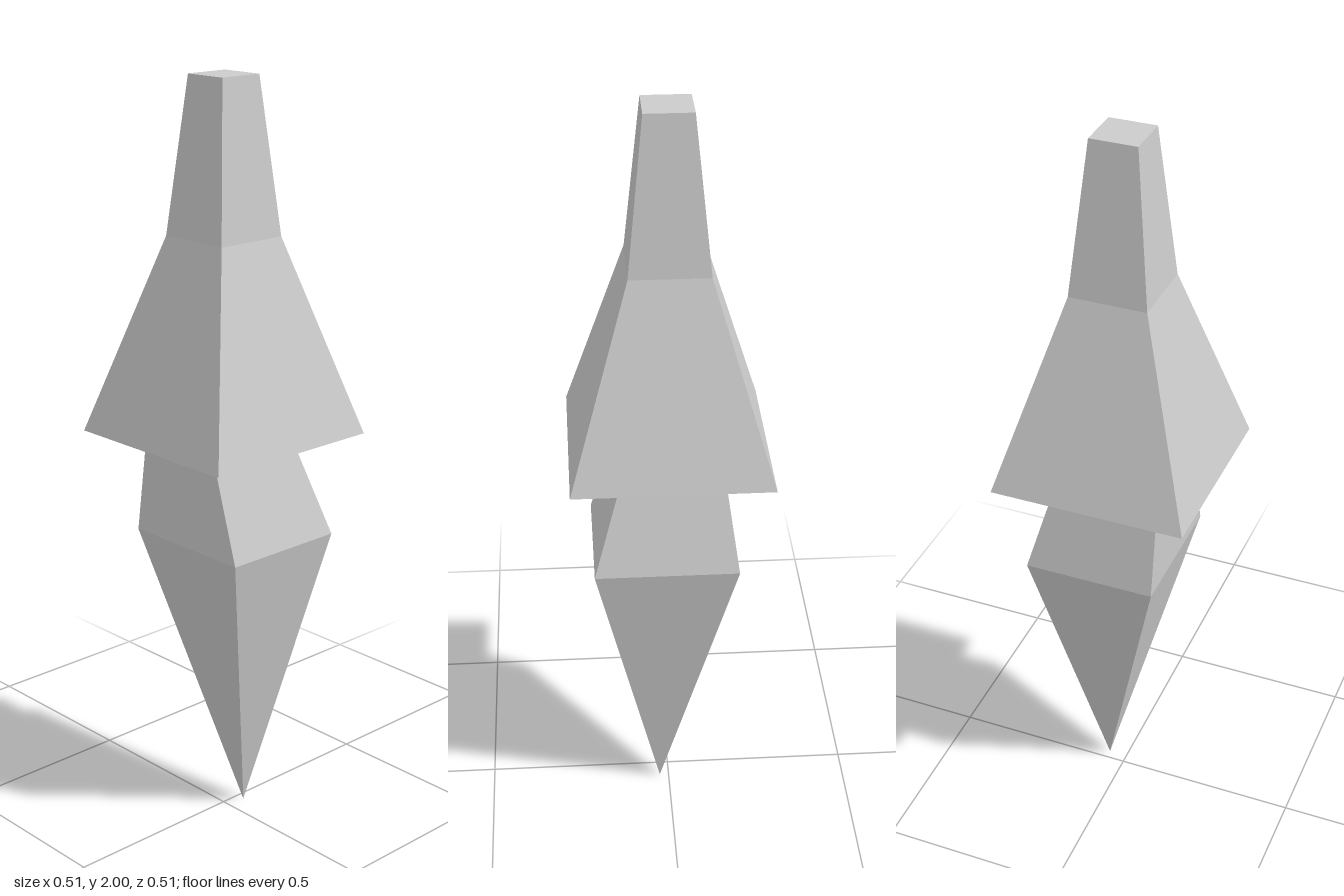
import * as THREE from 'three';

// Closed four-sided loft through rectangles [y, xMin, xMax, zMin, zMax], bottom to top
function loft(name, sections) {
  const rings = sections.map(([y, x0, x1, z0, z1]) => [
    new THREE.Vector3(x0, y, z1),
    new THREE.Vector3(x1, y, z1),
    new THREE.Vector3(x1, y, z0),
    new THREE.Vector3(x0, y, z0),
  ]);
  const points = [];
  const quad = (a, b, c, d) => points.push(a, b, c, a, c, d);

  // side walls
  for (let i = 0; i < rings.length - 1; i++) {
    const low = rings[i], high = rings[i + 1];
    for (let k = 0; k < 4; k++) {
      const n = (k + 1) % 4;
      quad(low[k], low[n], high[n], high[k]);
    }
  }
  // end caps
  const top = rings[rings.length - 1], bottom = rings[0];
  quad(top[0], top[1], top[2], top[3]);
  quad(bottom[3], bottom[2], bottom[1], bottom[0]);

  const geometry = new THREE.BufferGeometry().setFromPoints(points);
  geometry.computeVertexNormals();
  const material = new THREE.MeshStandardMaterial({ color: 0xcccccc, flatShading: true });
  const mesh = new THREE.Mesh(geometry, material);
  mesh.name = name;
  return mesh;
}

// Centred square section
const square = (y, h) => [y, -h, h, -h, h];

export function createModel() {
  const model = new THREE.Group();
  model.name = 'spike';

  // flared cap with a narrow neck
  model.add(loft('flaredCap', [square(1.085, 0.257), square(1.6, 0.102), square(2, 0.0615)]));

  // lopsided pointed blade floating just below the cap
  model.add(loft('pointedBlade', [
    [0, 0.052, 0.052, 0.025, 0.025],
    [0.805, -0.147, 0.203, -0.175, 0.2],
    [1.065, -0.147, 0.13, -0.138, 0.122],
  ]));

  return model;
}
